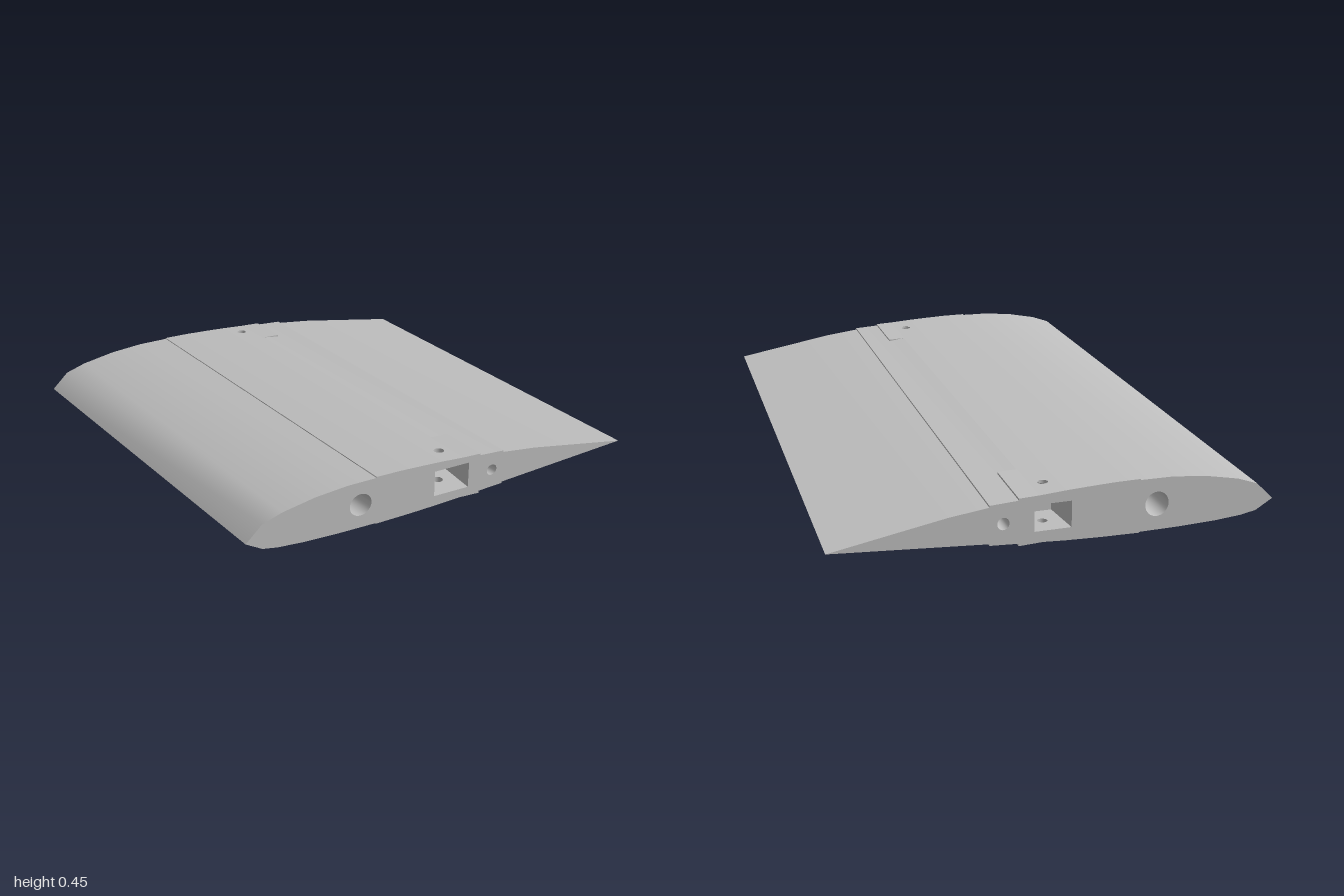
import * as THREE from 'three';

export function createModel() {
  const wing = new THREE.Group();
  wing.name = 'wingSection';
  const grey = new THREE.MeshStandardMaterial({ color: 0xbdbdbd, side: THREE.DoubleSide });
  grey.name = 'light grey';

  const add = (name, geometry, parent = wing) => {
    const mesh = new THREE.Mesh(geometry, grey);
    mesh.name = name;
    parent.add(mesh);
    return mesh;
  };

  // Taper and droop: maps a point of the front rib (z = 1) to its place at any z
  const place = (x, y, z) => {
    const t = (1 - z) / 2, s = 1 + 0.095 * t;
    return [x * s, 0.322 - 0.242 * t + (y - 0.322) * s, z];
  };
  const warp = (geo) => {
    const p = geo.attributes.position;
    for (let i = 0; i < p.count; i++) p.setXYZ(i, ...place(p.getX(i), p.getY(i), p.getZ(i)));
    geo.computeVertexNormals();
    return geo;
  };

  // Lofted strip from the front rib to the back rib; clockwise points face outward
  const strip = (points) => {
    const pos = [], index = [];
    points.forEach(([x, y], i) => {
      pos.push(x, y, 1, x, y, -1);
      if (i) {
        const a = 2 * i - 2;
        index.push(a, a + 2, a + 1, a + 1, a + 2, a + 3);
      }
    });
    const geo = new THREE.BufferGeometry();
    geo.setAttribute('position', new THREE.Float32BufferAttribute(pos, 3));
    geo.setIndex(index);
    return warp(geo);
  };

  const SCREW_X = 0.028, SCREW_R = 0.02, SCREW_Z = [0.9, -0.9];
  const circle = (x, y, r) => new THREE.Path().absarc(x, y, r, 0, Math.PI * 2, true);
  const rect = (x0, y0, x1, y1) => new THREE.Shape([[x0, y0], [x1, y0], [x1, y1], [x0, y1]]
    .map(([x, y]) => new THREE.Vector2(x, y)));

  // Airfoil runs, clockwise from the leading edge; the middle sheeting stands slightly proud
  const noseTop = [[-0.825, 0.322], [-0.76, 0.385], [-0.68, 0.412], [-0.55, 0.437], [-0.42, 0.449], [-0.3, 0.45]];
  const foreTop = [[-0.3, 0.454], [-0.2, 0.453], [-0.1, 0.449], [-0.02, 0.445]];
  const aftTop = [[0.08, 0.438], [0.15, 0.4285], [0.255, 0.4225]];
  const tailTop = [[0.255, 0.416], [0.4, 0.398], [0.6, 0.363], [0.815, 0.325]];
  const tailBottom = [[0.815, 0.325], [0.255, 0.286]];
  const aftBottom = [[0.255, 0.28], [0.15, 0.274], [0.08, 0.27]];
  const foreBottom = [[-0.02, 0.264], [-0.15, 0.259], [-0.3, 0.256]];
  const noseBottom = [[-0.3, 0.259], [-0.45, 0.26], [-0.6, 0.265], [-0.7, 0.273], [-0.76, 0.284], [-0.825, 0.322]];
  const runs = { noseTop, foreTop, aftTop, tailTop, tailBottom, aftBottom, foreBottom, noseBottom };
  for (const [name, points] of Object.entries(runs)) add(name + 'Skin', strip(points));

  // Small steps at the sheeting edges
  for (const [a, b] of [[noseTop, foreTop], [aftTop, tailTop], [tailBottom, aftBottom], [foreBottom, noseBottom]]) {
    add('sheetingStep', strip([a.at(-1), b[0]]));
  }

  // Flat skin panels drilled for the screws
  const drilledPanel = (name, [x0, y0], [x1, y1], up) => {
    const shape = rect(x0, -1, x1, 1);
    for (const z of SCREW_Z) shape.holes.push(circle(SCREW_X, z, SCREW_R));
    const geo = new THREE.ShapeGeometry(shape, 16).rotateX(up ? -Math.PI / 2 : Math.PI / 2);
    const p = geo.attributes.position;
    for (let i = 0; i < p.count; i++) p.setY(i, y0 + (y1 - y0) * (p.getX(i) - x0) / (x1 - x0));
    add(name, warp(geo));
  };
  drilledPanel('topScrewPanel', foreTop.at(-1), aftTop[0], true);
  drilledPanel('bottomScrewPanel', foreBottom[0], aftBottom.at(-1), false);

  // Round spar tubes running the whole span
  const tubes = [['mainSparTube', -0.365, 0.355, 0.045], ['rearSparTube', 0.205, 0.352, 0.022]];
  const ring = (x, y, r) => Array.from({ length: 33 }, (_, i) => {
    const a = i / 32 * Math.PI * 2;
    return [x + r * Math.cos(a), y + r * Math.sin(a)];
  });
  for (const [name, x, y, r] of tubes) add(name, strip(ring(x, y, r)));

  // End ribs, each with a level joiner pocket and two screw holes
  const outline = Object.values(runs).flat();
  const W = 0.15, H = 0.105, D = 0.2;
  for (const side of [1, -1]) {
    const end = new THREE.Group();
    end.name = side > 0 ? 'frontEnd' : 'backEnd';
    wing.add(end);
    const at = ([x, y]) => new THREE.Vector2(...place(x, y, side).slice(0, 2));
    const c = at([0.025, 0.3575]);
    const zMid = side * (1 - D / 2);

    const rib = new THREE.Shape(outline.map(at));
    rib.holes.push(rect(c.x - W / 2, c.y - H / 2, c.x + W / 2, c.y + H / 2));
    for (const [, x, y, r] of tubes) rib.holes.push(new THREE.Path(ring(x, y, r).slice(0, 32).map(at)));
    const cap = new THREE.ShapeGeometry(rib);
    if (side < 0) cap.rotateY(Math.PI).scale(-1, 1, 1);
    if (side < 0) {
      // Mirroring reverses the corners, so turn them and the normals to face backward
      const ix = cap.index;
      for (let i = 0; i < ix.count; i += 3) {
        const b = ix.getX(i + 1);
        ix.setX(i + 1, ix.getX(i + 2));
        ix.setX(i + 2, b);
      }
      cap.computeVertexNormals();
    }
    add('endRib', cap.translate(0, 0, side), end);

    // Pocket walls
    for (const s of [-1, 1]) {
      add('pocketSide', new THREE.PlaneGeometry(D, H).rotateY(-s * Math.PI / 2)
        .translate(c.x + s * W / 2, c.y, zMid), end);
    }
    add('pocketBack', new THREE.PlaneGeometry(W, H).rotateY(side > 0 ? 0 : Math.PI)
      .translate(c.x, c.y, side * (1 - D)), end);

    // Drilled pocket floor and ceiling, with the screw bores to the skin
    const z = side * 0.9;
    const sx = place(SCREW_X, 0, z)[0];
    for (const s of [-1, 1]) {
      const plate = rect(c.x - W / 2, -D / 2, c.x + W / 2, D / 2);
      plate.holes.push(circle(sx, 0, SCREW_R));
      const y = c.y + s * H / 2;
      add(s > 0 ? 'pocketCeiling' : 'pocketFloor',
        new THREE.ShapeGeometry(plate, 16).rotateX(s * Math.PI / 2).translate(0, y, zMid), end);
      const skinY = place(0, s > 0 ? 0.4415 : 0.267, z)[1];
      add('screwBore', new THREE.CylinderGeometry(SCREW_R, SCREW_R, Math.abs(skinY - y), 32, 1, true)
        .translate(sx, (skinY + y) / 2, z), end);
    }

    // Wedge pads beside the screws, above and below
    const pads = {
      topPad: [[0.07, 0.4385], [0.15, 0.4285], [0.15, 0.4355]],
      bottomPad: [[0.06, 0.2688], [0.15, 0.265], [0.15, 0.274]],
    };
    for (const [name, points] of Object.entries(pads)) {
      const shape = new THREE.Shape(points.map(([x, y]) => new THREE.Vector2(x, y)));
      const geo = new THREE.ExtrudeGeometry(shape, { depth: 0.235, bevelEnabled: false });
      add(name, warp(geo.translate(0, 0, side > 0 ? 0.765 : -1)), end);
    }
  }
  return wing;
}
